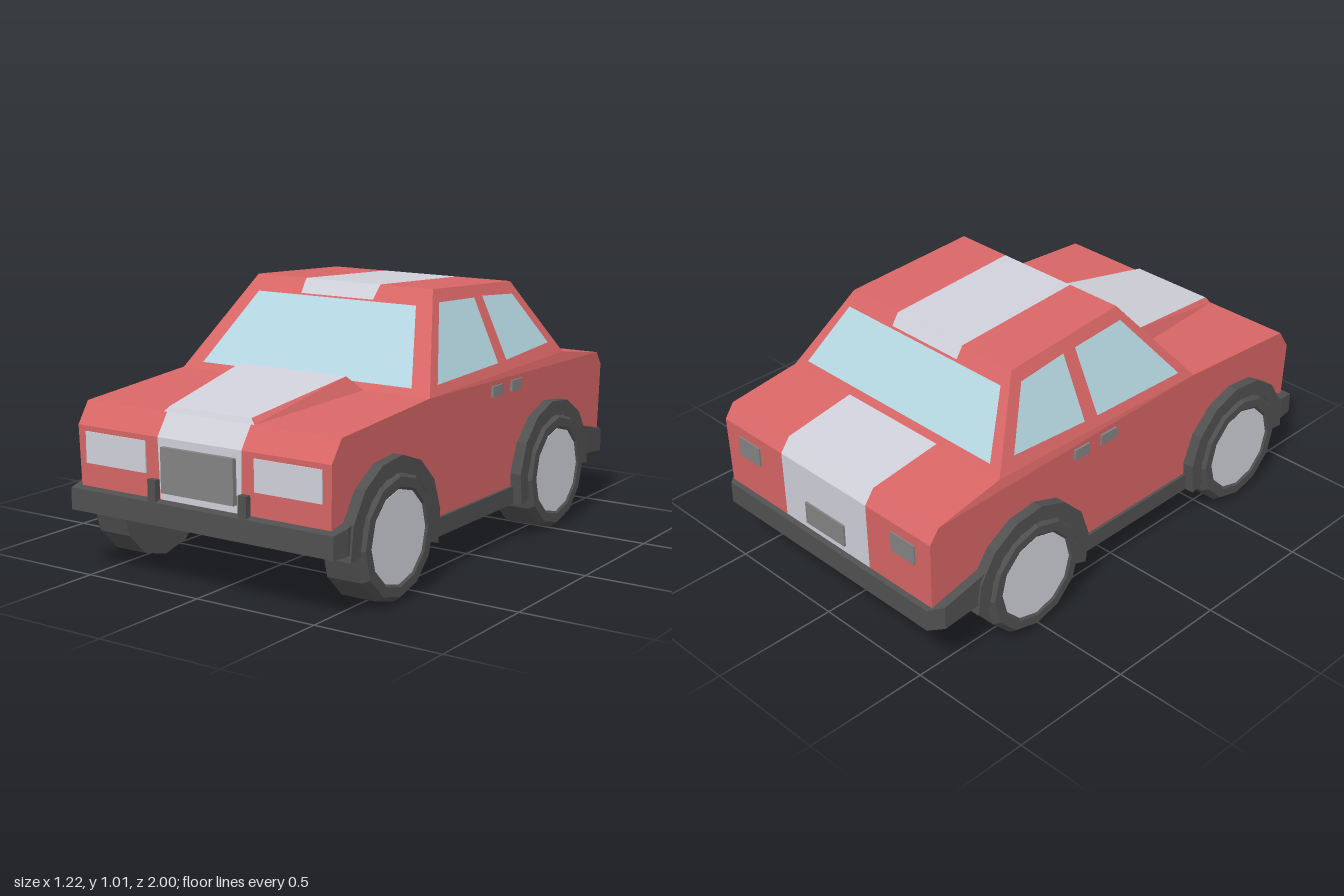
import * as THREE from 'three';
import { ConvexGeometry } from 'three/addons/geometries/ConvexGeometry.js';

const paint = (name, color, extra = {}) => {
  const m = new THREE.MeshStandardMaterial({ color, ...extra });
  m.name = name;
  return m;
};

// Half width of the body shell at a height: upright below the belt, tapered cabin above
const half = y => y < 0.67 ? 0.55 + 0.01 * (y - 0.22) / 0.45 : 0.56 - 0.16 * (y - 0.67) / 0.345;

// Flat quads, corners counter-clockwise from outside
function panels(quads) {
  const pos = [];
  for (const [a, b, c, d] of quads) pos.push(...a, ...b, ...c, ...a, ...c, ...d);
  const g = new THREE.BufferGeometry();
  g.setAttribute('position', new THREE.Float32BufferAttribute(pos, 3));
  g.computeVertexNormals();
  return g;
}

// Mirrored copy across x with the winding put right
function mirror(geo) {
  const g = geo.index ? geo.toNonIndexed() : geo.clone();
  const p = g.attributes.position;
  for (let i = 0; i < p.count; i += 3) {
    const t = [0, 2, 1].map(k => [-p.getX(i + k), p.getY(i + k), p.getZ(i + k)]);
    t.forEach((v, k) => p.setXYZ(i + k, ...v));
  }
  g.computeVertexNormals();
  return g;
}

const sideShape = pts => new THREE.Shape(pts.map(([z, y]) => new THREE.Vector2(-z, y)));

// Side profile (z, y) extruded from x0 to x1
function prism(pts, x0, x1) {
  return new THREE.ExtrudeGeometry(sideShape(pts), { depth: x1 - x0, bevelEnabled: false })
    .rotateY(Math.PI / 2).translate(x0, 0, 0);
}

// Side profile laid on the left body side
function sidePanel(pts, offset = 0) {
  const g = new THREE.ShapeGeometry(sideShape(pts)).rotateY(Math.PI / 2).toNonIndexed();
  const p = g.attributes.position;
  for (let i = 0; i < p.count; i++) p.setX(i, half(p.getY(i)) + offset);
  g.computeVertexNormals();
  return g;
}

function box(x0, x1, y0, y1, z0, z1) {
  return new THREE.BoxGeometry(x1 - x0, y1 - y0, z1 - z0)
    .translate((x0 + x1) / 2, (y0 + y1) / 2, (z0 + z1) / 2);
}

export function createModel() {
  const car = new THREE.Group();
  car.name = 'car';
  const red = paint('red paint', 0xd86666);
  const white = paint('pale stripe', 0xd0d0da);
  const glass = paint('window glass', 0xb4d6e0, { side: THREE.DoubleSide });
  const dark = paint('dark trim', 0x505050, { flatShading: true });
  const grey = paint('grey metal', 0x838383);

  const add = (name, geo, mat) => {
    const m = new THREE.Mesh(geo, mat);
    m.name = name;
    car.add(m);
  };
  const both = (name, geo, mat) => {
    add(name + 'Left', geo, mat);
    add(name + 'Right', mirror(geo), mat);
  };

  // Centre line from front to back: z, y, stripe half width towards the next point
  const line = [
    [0.97, 0.31, 0.18], [0.975, 0.55, 0.185], [0.92, 0.63, 0], [0.375, 0.67, 0],
    [0.142, 0.962, 0.165], [0.1, 1.015, 0.17], [-0.455, 0.985, 0.17], [-0.484, 0.94, 0],
    [-0.65, 0.69, 0.235], [-0.945, 0.645, 0.23], [-0.985, 0.59, 0.23], [-0.98, 0.31, 0.23],
  ];
  const redQuads = [], whiteQuads = [];
  for (let i = 0; i < line.length - 1; i++) {
    const [z0, y0, s0] = line[i], [z1, y1, s1] = line[i + 1];
    const a = half(y0), b = half(y1), t = s1 || s0;
    const strip = (l0, r0, l1, r1) => [[l0, y0, z0], [r0, y0, z0], [r1, y1, z1], [l1, y1, z1]];
    if (!s0) { redQuads.push(strip(-a, a, -b, b)); continue; }
    redQuads.push(strip(-a, -s0, -b, -t), strip(s0, a, t, b));
    whiteQuads.push(strip(-s0, s0, -t, t));
  }
  add('bodyShell', panels(redQuads), red);
  add('stripe', panels(whiteQuads), white);

  // Body sides and cabin sides
  const outline = line.map(([z, y]) => [z, y]);
  both('bodySide', sidePanel([...outline.slice(0, 4), ...outline.slice(8), [-0.75, 0.22], [0.85, 0.22]]), red);
  both('cabinSide', sidePanel(outline.slice(3, 9)), red);

  // Raised bonnet bulge
  const base0 = [0.2, 0.63, 0.92], top0 = [0.18, 0.65, 0.91];
  const top1 = [0.24, 0.725, 0.43], base1 = [0.28, 0.668, 0.375];
  const flip = ([x, y, z]) => [-x, y, z];
  add('bonnetBulge', panels([
    [flip(base0), base0, top0, flip(top0)],
    [flip(top0), top0, top1, flip(top1)],
    [flip(top1), top1, base1, flip(base1)],
  ]), white);
  both('bulgeSide', panels([[base0, base1, top1, top0]]), red);

  // Windows
  both('frontSideWindow', sidePanel([[0.3, 0.706], [0.096, 0.968], [-0.15, 0.957], [-0.145, 0.717]], 0.003), glass);
  both('rearSideWindow', sidePanel([[-0.21, 0.957], [-0.43, 0.94], [-0.56, 0.738], [-0.21, 0.72]], 0.003), glass);
  const screenZ = y => 0.375 - 0.275 * (y - 0.67) / 0.345 + 0.006;
  const rearZ = y => -0.65 + 0.166 * (y - 0.69) / 0.25 - 0.006;
  const pane = (y0, x0, y1, x1, f) => panels([[[-x0, y0, f(y0)], [x0, y0, f(y0)], [x1, y1, f(y1)], [-x1, y1, f(y1)]]]);
  add('windscreen', pane(0.695, 0.475, 0.957, 0.36, screenZ), glass);
  add('rearWindow', pane(0.935, 0.4, 0.72, 0.49, rearZ), glass);

  // Lights, grille, plate and door handles
  both('headlight', box(0.24, 0.52, 0.413, 0.53, 0.971, 0.979), white);
  both('tailLight', box(0.36, 0.48, 0.47, 0.55, -0.99, -0.982), grey);
  add('grille', box(-0.16, 0.16, 0.355, 0.52, 0.95, 0.992), grey);
  add('rearPlate', box(-0.105, 0.105, 0.35, 0.44, -0.99, -0.982), grey);
  both('frontHandle', box(0.54, 0.568, 0.6, 0.642, -0.145, -0.065), grey);
  both('rearHandle', box(0.54, 0.568, 0.6, 0.642, -0.285, -0.21), grey);

  // Bumpers, wrapped around the corners
  const hull = pts => new ConvexGeometry(pts.flatMap(([x, y, z]) =>
    [new THREE.Vector3(x, y, z), new THREE.Vector3(-x, y, z)]));
  add('frontBumper', hull([
    [0.58, 0.235, 1], [0.58, 0.318, 1], [0.59, 0.33, 0.93], [0.59, 0.235, 0.93],
    [0.58, 0.355, 0.84], [0.58, 0.235, 0.84],
  ]), dark);
  add('rearBumper', hull([
    [0.545, 0.228, -1], [0.545, 0.315, -1], [0.585, 0.322, -0.95], [0.585, 0.23, -0.95],
    [0.59, 0.37, -0.76], [0.59, 0.25, -0.76],
  ]), dark);
  both('bumperGuard', box(0.183, 0.218, 0.3, 0.398, 0.95, 0.997), dark);

  // Floor and sills
  add('floor', prism([[0.9, 0.24], [0.4, 0.22], [-0.3, 0.22], [-0.85, 0.24], [-0.3, 0.15], [0.4, 0.15]], -0.562, 0.562), dark);

  // Wheel arches and wheels
  const tyreProfile = [[0, 0.445], [0.235, 0.445], [0.235, 0.585], [0.215, 0.61], [0.18, 0.61], [0.168, 0.6]]
    .map(([r, h]) => new THREE.Vector2(r, h));
  for (const [name, z, from, to] of [['front', 0.64, -5, 198], ['rear', -0.52, -18, 185]]) {
    const arc = r => Array.from({ length: 9 }, (_, i) => {
      const a = (from + (to - from) * i / 8) * Math.PI / 180;
      return [z + r * Math.cos(a), 0.235 + r * Math.sin(a)];
    });
    both(name + 'Arch', prism([...arc(0.285), ...arc(0.225).reverse()], 0.5, 0.597), dark);
    const tyre = new THREE.LatheGeometry(tyreProfile, 12).rotateZ(-Math.PI / 2).translate(0, 0.235, z);
    both(name + 'Tyre', tyre, dark);
    const hub = new THREE.CylinderGeometry(0.17, 0.17, 0.03, 12).rotateZ(-Math.PI / 2).translate(0.589, 0.235, z);
    both(name + 'Hub', hub, white);
  }
  return car;
}
